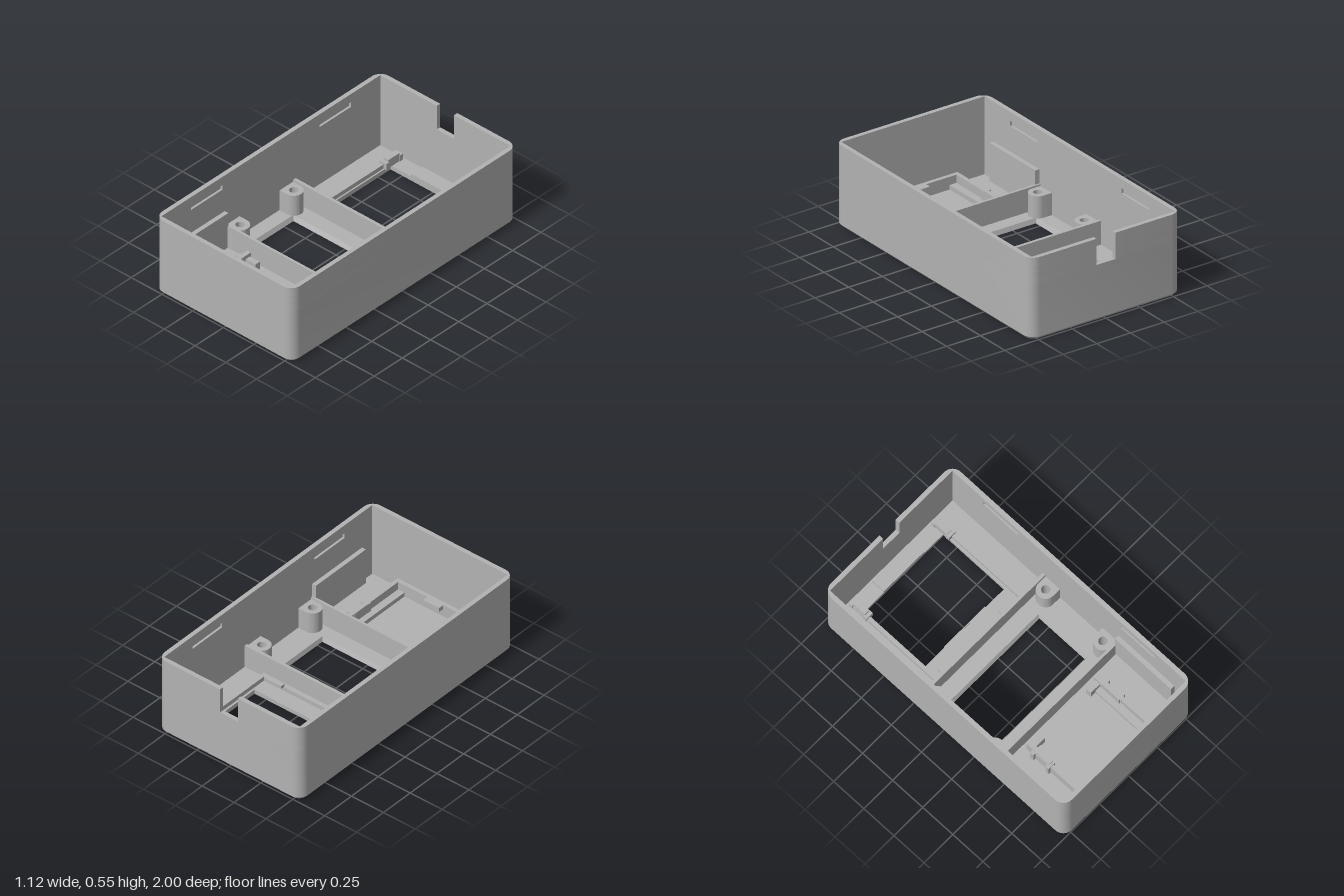
import * as THREE from 'three';
import { toCreasedNormals } from 'three/addons/utils/BufferGeometryUtils.js';

const FLOOR = 0.03, HEIGHT = 0.55;

export function createModel() {
  const group = new THREE.Group();
  const grey = new THREE.MeshStandardMaterial({ color: 0xb2b2b2 });
  grey.name = 'grey plastic';

  const add = (name, geometry) => {
    const mesh = new THREE.Mesh(geometry, grey);
    mesh.name = name;
    group.add(mesh);
    return mesh;
  };
  const box = (name, x0, x1, y0, y1, z0, z1) => {
    const g = new THREE.BoxGeometry(x1 - x0, y1 - y0, z1 - z0);
    add(name, g.translate((x0 + x1) / 2, (y0 + y1) / 2, (z0 + z1) / 2));
  };
  // The same box on both sides of x = 0
  const pair = (name, x0, x1, ...rest) => {
    box(name + 'Left', x0, x1, ...rest);
    box(name + 'Right', -x1, -x0, ...rest);
  };

  // Plan outlines: [x, -z], counterclockwise from above
  const rect = (x0, x1, z0, z1) => [[x0, -z1], [x1, -z1], [x1, -z0], [x0, -z0]];
  const rounded = (w, d, r) => {
    const pts = [];
    [[-1, 1], [-1, -1], [1, -1], [1, 1]].forEach(([sx, sy], c) => {
      for (let i = 0; i <= 8; i++) {
        const a = Math.PI / 2 * (1 + c + i / 8);
        pts.push([sx * (w - r) + r * Math.cos(a), sy * (d - r) + r * Math.sin(a)]);
      }
    });
    return pts;
  };
  const toShape = (pts, holes = []) => {
    const s = new THREE.Shape(pts.map(p => new THREE.Vector2(...p)));
    s.holes = holes.map(h => new THREE.Path(h.map(p => new THREE.Vector2(...p))));
    return s;
  };
  const layer = (name, shape, y0, y1) => {
    const g = new THREE.ExtrudeGeometry(shape, { depth: y1 - y0, bevelEnabled: false, curveSegments: 20 });
    add(name, toCreasedNormals(g.rotateX(-Math.PI / 2).translate(0, y0, 0), 0.5));
  };
  // Sloped band between two outlines
  const band = (name, low, yLow, high, yHigh, inward) => {
    const pos = [], n = low.length;
    for (let i = 0; i < n; i++) {
      const j = (i + 1) % n;
      const p = (l, k, y) => [l[k][0], y, -l[k][1]];
      const a = p(low, i, yLow), b = p(low, j, yLow), c = p(high, j, yHigh), d = p(high, i, yHigh);
      pos.push(...(inward ? [a, c, b, a, d, c] : [a, b, c, a, c, d]).flat());
    }
    const g = new THREE.BufferGeometry();
    g.setAttribute('position', new THREE.Float32BufferAttribute(pos, 3));
    g.computeVertexNormals();
    add(name, toCreasedNormals(g, 0.5));
  };

  // Floor with two window openings and a chamfered lower edge
  const outer = rounded(0.56, 1, 0.07);
  const base = rounded(0.54, 0.98, 0.05);
  const lowHoles = [rect(-0.345, 0.34, -0.86, -0.355), rect(-0.42, 0.355, -0.08, 0.295)];
  const topHoles = [rect(-0.345, 0.34, -0.86, -0.355), rect(-0.435, 0.365, -0.095, 0.307)];
  add('floorUnderside', new THREE.ShapeGeometry(toShape(base, lowHoles)).rotateX(Math.PI / 2).scale(1, 1, -1));
  const under = group.children[0].geometry;
  // The scale mirrors the plan, so restore the downward winding
  const idx = under.index.array;
  for (let i = 0; i < idx.length; i += 3) [idx[i], idx[i + 1]] = [idx[i + 1], idx[i]];
  under.computeVertexNormals();
  if (under.attributes.normal.getY(0) > 0) {
    for (let i = 0; i < idx.length; i += 3) [idx[i], idx[i + 1]] = [idx[i + 1], idx[i]];
    under.computeVertexNormals();
  }
  add('floorTop', new THREE.ShapeGeometry(toShape(rect(-0.53, 0.53, -0.97, 0.97), topHoles))
    .rotateX(-Math.PI / 2).translate(0, FLOOR, 0));
  band('bottomChamfer', base, 0, outer, 0.02, false);
  lowHoles.forEach((h, i) => band('windowEdge' + i, h, 0, topHoles[i], FLOOR, true));

  // Walls: closed below the cable notch, open above it, grooved near the rim
  const openRing = (groove) => {
    const side = [0.71, 0.43, -0.43, -0.71];
    const right = side.flatMap((z, i) => {
      const a = [0.53, z], b = [0.53 + groove, z];
      return i % 2 ? [b, a] : [a, b];
    });
    const cut = groove ? right : [];
    const left = cut.map(([x, z]) => [-x, z]).reverse();
    return toShape([...outer, [0.07, 1], [0.07, 0.97], [0.53, 0.97], ...cut, [0.53, -0.97],
      [-0.53, -0.97], ...left, [-0.53, 0.97], [-0.07, 0.97], [-0.07, 1]]);
  };
  layer('lowerWall', toShape(outer, [rect(-0.53, 0.53, -0.97, 0.97)]), 0.02, 0.375);
  layer('notchedWall', openRing(0), 0.375, 0.455);
  layer('groovedWall', openRing(0.015), 0.455, 0.49);
  layer('rimWall', openRing(0), 0.49, HEIGHT);

  // Cross dividers and side ribs
  box('backDivider', -0.53, 0.53, FLOOR, 0.19, -0.22, -0.198);
  box('frontDivider', -0.53, 0.53, FLOOR, 0.19, 0.398, 0.416);
  pair('sideRib', 0.5, 0.53, FLOOR, 0.285, 0.41, 0.875);

  // Screw posts joined to the side walls
  for (const sx of [-1, 1]) for (const z of [-0.135, 0.34]) {
    const s = new THREE.Shape();
    s.moveTo(0.06, 0.06);
    s.lineTo(0, 0.06);
    s.absarc(0, 0, 0.06, Math.PI / 2, Math.PI * 1.5, false);
    s.lineTo(0.06, -0.06);
    s.closePath();
    const hole = new THREE.Path();
    hole.absarc(0, 0, 0.028, 0, Math.PI * 2, true);
    s.holes.push(hole);
    layer('screwPost', s, FLOOR, 0.178);
    const post = group.children[group.children.length - 1];
    post.position.set(sx * 0.468, 0, z);
    if (sx < 0) post.rotation.y = Math.PI;
  }

  // Back tray: low frame, pads, tabs and side clips
  pair('backTraySide', 0.355, 0.38, FLOOR, 0.06, -0.96, -0.225);
  box('backTrayFront', -0.38, 0.38, FLOOR, 0.06, -0.25, -0.22);
  box('backPad', -0.178, 0.175, FLOOR, 0.05, -0.96, -0.86);
  box('frontPad', -0.178, 0.175, 0.01, 0.032, -0.36, -0.352);
  pair('backTrayTab', 0.198, 0.322, 0.06, 0.08, -0.277, -0.245);
  pair('backClip', 0.335, 0.375, FLOOR, 0.09, -0.93, -0.83);
  for (const z of [-0.94, -0.82]) pair('backClipEnd', 0.33, 0.385, FLOOR, 0.075, z - 0.014, z + 0.014);

  // Front tray: frame, inner ledges, tab and side clips
  pair('frontTraySide', 0.288, 0.315, FLOOR, 0.115, 0.51, 0.95);
  box('frontTrayEnd', -0.315, 0.315, FLOOR, 0.115, 0.923, 0.95);
  pair('frontTrayLedge', 0.238, 0.29, FLOOR, 0.06, 0.49, 0.925);
  box('frontTrayTab', -0.065, 0.06, 0.085, 0.115, 0.885, 0.925);
  pair('frontClip', 0.278, 0.308, FLOOR, 0.125, 0.45, 0.64);
  pair('frontClipHook', 0.198, 0.28, FLOOR, 0.1, 0.46, 0.498);
  for (const z of [0.515, 0.642]) pair('frontClipEnd', 0.277, 0.332, FLOOR, 0.12, z - 0.014, z + 0.014);

  return group;
}
